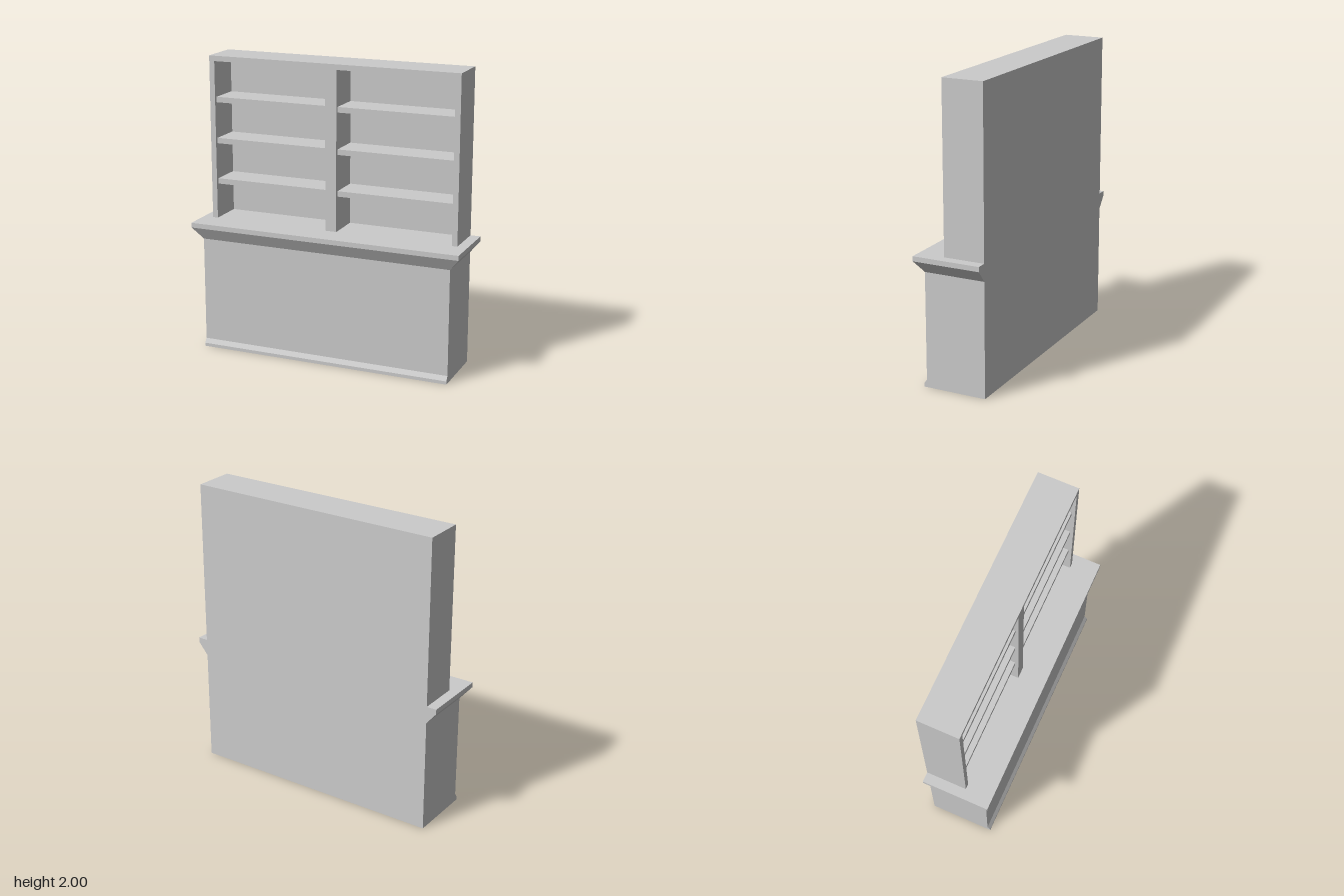
import * as THREE from 'three';

const material = new THREE.MeshStandardMaterial({ color: 0xcccccc });
const BACK = -0.23;

function add(parent, name, geometry) {
  const mesh = new THREE.Mesh(geometry, material);
  mesh.name = name;
  parent.add(mesh);
  return mesh;
}

// Box given by its extents on each axis
function box([x0, x1], [y0, y1], [z0, z1]) {
  return new THREE.BoxGeometry(x1 - x0, y1 - y0, z1 - z0)
    .translate((x0 + x1) / 2, (y0 + y1) / 2, (z0 + z1) / 2);
}

export function createModel() {
  const model = new THREE.Group();
  model.name = 'dresser';
  const W = 0.877, TOP_W = 0.945;

  // Lower cabinet
  const base = new THREE.Group();
  base.name = 'base';
  model.add(base);
  add(base, 'cabinet', box([-W, W], [0, 0.77], [BACK, 0.185]));

  // Skirting along the front, with a sloped upper edge
  const skirting = new THREE.Shape([
    new THREE.Vector2(0.185, 0), new THREE.Vector2(0.205, 0),
    new THREE.Vector2(0.205, 0.022), new THREE.Vector2(0.185, 0.052),
  ]);
  add(base, 'skirting', new THREE.ExtrudeGeometry(skirting, { depth: 2 * W, bevelEnabled: false })
    .rotateY(-Math.PI / 2).scale(1, 1, 1).translate(W, 0, 0));

  // Moulding that flares out to the front and sides, flush at the back
  const flare = box([-TOP_W, TOP_W], [0.77, 0.852], [BACK, 0.23]);
  const p = flare.attributes.position;
  for (let i = 0; i < p.count; i++) {
    if (p.getY(i) > 0.8) continue;
    p.setX(i, Math.sign(p.getX(i)) * W);
    if (p.getZ(i) > 0) p.setZ(i, 0.185);
  }
  flare.computeVertexNormals();
  add(base, 'moulding', flare);
  add(base, 'worktop', box([-TOP_W, TOP_W], [0.852, 0.885], [BACK, 0.23]));

  // Open shelf unit
  const hutch = new THREE.Group();
  hutch.name = 'hutch';
  model.add(hutch);
  const INNER = 0.84, FRONT = 0.047, PANEL = -0.192;
  add(hutch, 'backPanel', box([-INNER, INNER], [0.885, 1.964], [BACK, PANEL]));
  add(hutch, 'topBoard', box([-W, W], [1.964, 2], [BACK, FRONT]));
  add(hutch, 'divider', box([-0.039, 0.039], [0.885, 1.964], [PANEL, FRONT]));
  for (const [side, s] of [['left', 1], ['right', -1]]) {
    const span = (a, b) => (s > 0 ? [a, b] : [-b, -a]);
    add(hutch, side + 'Side', box(span(INNER, W), [0.885, 1.964], [BACK, FRONT]));
    for (const y of [1.121, 1.402, 1.683]) {
      add(hutch, side + 'Shelf', box(span(0.039, INNER), [y, y + 0.037], [PANEL, 0.025]));
    }
  }
  return model;
}
